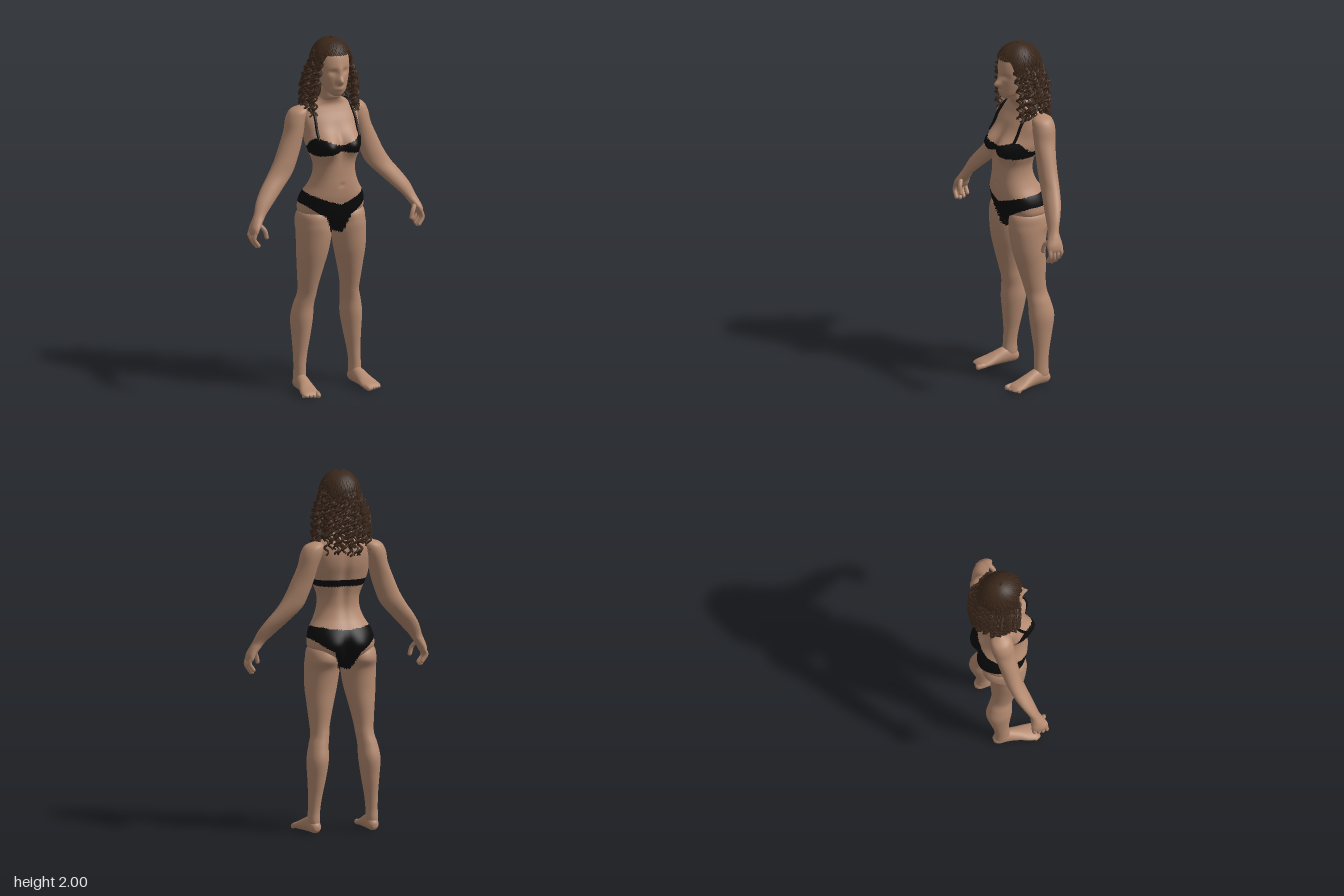
import * as THREE from 'three';
import { mergeGeometries } from 'three/addons/utils/BufferGeometryUtils.js';

const mat = (name, color, side = THREE.FrontSide) => {
  const m = new THREE.MeshStandardMaterial({ color, side });
  m.name = name;
  return m;
};

const { sin, cos, abs, sign, min, max, PI } = Math;
const smooth = (x, a, b) => THREE.MathUtils.smoothstep(x, a, b);
const bump = (x, y, cx, cy, sx, sy = sx) => Math.exp(-(((x - cx) / sx) ** 2) - ((y - cy) / sy) ** 2);

// Smoothly interpolated row of a section table, t in 0..1
function sample(table, t) {
  const f = t * (table.length - 1), i = min(Math.floor(f), table.length - 2), k = f - i;
  const at = (n) => table[max(0, min(table.length - 1, n))];
  return table[0].map((_, c) => {
    const [a, b, d, e] = [at(i - 1)[c], at(i)[c], at(i + 1)[c], at(i + 2)[c]];
    return b + 0.5 * k * (d - a + k * (2 * a - 5 * b + 4 * d - e + k * (3 * (b - d) + e - a)));
  });
}

// Closed rings through sections [position along axis, centre, centre, radius, radius].
// sculpt moves each point; isCloth picks the second material group.
function loft(table, { axis = 'y', rows = 60, cols = 32, power = 1, sculpt, isCloth } = {}) {
  const pos = [], groups = [[], []], v = new THREE.Vector3();
  const pw = (n) => sign(n) * abs(n) ** power;
  for (let r = 0; r <= rows; r++) {
    const [t, c1, c2, r1, r2] = sample(table, r / rows);
    for (let c = 0; c < cols; c++) {
      const u = (c / cols) * PI * 2, a = c1 + r1 * pw(cos(u)), b = c2 + r2 * pw(sin(u));
      if (axis === 'y') v.set(a, t, b); else v.set(a, max(0, b), t);
      if (sculpt) sculpt(v);
      pos.push(v.x, v.y, v.z);
    }
  }
  const tri = (...f) => {
    const mid = [0, 1, 2].map((k) => (pos[f[0] * 3 + k] + pos[f[1] * 3 + k] + pos[f[2] * 3 + k]) / 3);
    groups[isCloth && isCloth(...mid) ? 1 : 0].push(...f);
  };
  for (let r = 0; r < rows; r++) for (let c = 0; c < cols; c++) {
    const a = r * cols + c, b = r * cols + (c + 1) % cols;
    tri(a, a + cols, b);
    tri(b, a + cols, b + cols);
  }
  const g = new THREE.BufferGeometry();
  g.setAttribute('position', new THREE.Float32BufferAttribute(pos, 3));
  g.setIndex([...groups[0], ...groups[1]]);
  g.addGroup(0, groups[0].length, 0);
  g.addGroup(groups[0].length, groups[1].length, 1);
  g.computeVertexNormals();
  return g;
}

// Where the two-piece swimsuit covers the body
function swimsuit(x, y, z) {
  const a = abs(x);
  if (y > 1.25) {
    const front = smooth(z, -0.01, 0.08);
    const top = 1.4 + front * (0.015 + 0.38 * min(a, 0.12));
    const bottom = 1.36 + front * max(0, 0.025 - 0.2 * a);
    return y > bottom && y < top;
  }
  const top = z > 0 ? 1.075 + 0.38 * a : 1.125 + 0.1 * a;
  const bottom = 0.9 + 0.11 * smooth(a, 0.025, 0.085) + 0.65 * max(0, a - 0.085);
  return y > bottom && y < top;
}

// [height, half width, front z, back z]
const torsoRows = [
  [0.915, 0.01, 0.0, -0.04], [0.925, 0.06, 0.035, -0.08], [0.96, 0.13, 0.075, -0.125], [1.02, 0.183, 0.1, -0.145],
  [1.07, 0.186, 0.115, -0.148], [1.12, 0.173, 0.126, -0.135], [1.18, 0.138, 0.13, -0.1], [1.24, 0.118, 0.128, -0.08],
  [1.3, 0.117, 0.125, -0.08], [1.36, 0.138, 0.118, -0.092], [1.42, 0.157, 0.108, -0.108], [1.48, 0.16, 0.085, -0.125],
  [1.54, 0.165, 0.06, -0.13], [1.59, 0.155, 0.03, -0.125], [1.625, 0.115, 0.015, -0.11], [1.65, 0.072, 0.02, -0.08],
  [1.68, 0.055, 0.035, -0.065], [1.76, 0.05, 0.04, -0.06],
].map(([y, w, f, b]) => [y, 0, (f + b) / 2, w, (f - b) / 2]);

function sculptTorso(v) {
  const a = abs(v.x);
  if (v.z > 0) v.z += 0.058 * bump(a, v.y, 0.075, 1.415, 0.068) - 0.006 * bump(v.x, v.y, 0, 1.19, 0.012);
  else v.z += 0.022 * bump(v.x, v.y, 0, 0.99, 0.02, 0.07) - 0.025 * bump(a, v.y, 0.08, 1.03, 0.07)
    + 0.012 * bump(v.x, v.y, 0, 1.36, 0.025, 0.18);
}

const legRows = [
  [0.02, 0.168, -0.06, 0.026, 0.036], [0.06, 0.168, -0.06, 0.034, 0.044], [0.12, 0.167, -0.06, 0.033, 0.041],
  [0.2, 0.162, -0.065, 0.038, 0.045], [0.3, 0.155, -0.07, 0.05, 0.06], [0.4, 0.15, -0.072, 0.06, 0.073],
  [0.48, 0.142, -0.063, 0.055, 0.066], [0.54, 0.13, -0.05, 0.051, 0.063], [0.6, 0.127, -0.038, 0.056, 0.067],
  [0.7, 0.12, -0.025, 0.072, 0.082], [0.8, 0.112, -0.013, 0.089, 0.095], [0.9, 0.105, -0.012, 0.097, 0.108],
  [0.96, 0.105, -0.025, 0.094, 0.124], [1.02, 0.1, -0.02, 0.086, 0.105], [1.06, 0.1, -0.02, 0.03, 0.04],
];
const footRows = [
  [0.145, 0.186, 0.014, 0.036, 0.006], [0.125, 0.186, 0.018, 0.05, 0.017], [0.08, 0.182, 0.025, 0.05, 0.026],
  [0.03, 0.175, 0.036, 0.041, 0.037], [-0.03, 0.169, 0.046, 0.036, 0.047], [-0.085, 0.167, 0.036, 0.032, 0.036],
  [-0.108, 0.167, 0.03, 0.017, 0.02], [-0.112, 0.167, 0.03, 0.002, 0.002],
];
const armRows = [
  [0.945, 0.505, 0.05, 0.006, 0.03], [0.96, 0.503, 0.05, 0.018, 0.046], [0.99, 0.494, 0.05, 0.026, 0.046],
  [1.025, 0.474, 0.043, 0.032, 0.036], [1.06, 0.452, 0.034, 0.037, 0.029], [1.12, 0.41, 0.012, 0.055, 0.036],
  [1.18, 0.36, -0.012, 0.066, 0.043], [1.25, 0.3, -0.034, 0.072, 0.046], [1.32, 0.262, -0.043, 0.067, 0.05],
  [1.4, 0.23, -0.051, 0.063, 0.054], [1.48, 0.203, -0.06, 0.056, 0.061], [1.55, 0.182, -0.066, 0.062, 0.063],
  [1.595, 0.165, -0.066, 0.052, 0.052], [1.617, 0.15, -0.066, 0.012, 0.012],
];
const headRows = [
  [1.686, 0, 0.07, 0.008, 0.006], [1.692, 0, 0.066, 0.028, 0.024], [1.715, 0, 0.05, 0.053, 0.052],
  [1.75, 0, 0.03, 0.07, 0.076], [1.8, 0, 0.02, 0.083, 0.087], [1.86, 0, 0.01, 0.09, 0.096],
  [1.92, 0, 0, 0.084, 0.09], [1.96, 0, -0.01, 0.06, 0.065], [1.985, 0, -0.01, 0.01, 0.01],
];

// Nose, lips and eye hollows
function sculptHead(v) {
  if (v.z < 0.03) return;
  v.z += 0.032 * bump(v.x, v.y, 0, 1.78, 0.016, 0.02) + 0.012 * bump(v.x, v.y, 0, 1.82, 0.014, 0.04)
    + 0.007 * bump(v.x, v.y, 0, 1.735, 0.025, 0.012) - 0.012 * bump(abs(v.x), v.y, 0.036, 1.83, 0.022, 0.016);
}

const tube = (pts, r, segs = 16, sides = 8) => new THREE.TubeGeometry(
  new THREE.CatmullRomCurve3(pts.map((p) => new THREE.Vector3(...p))), segs, r, sides);

// Rounded finger or toe along a path
function digit(pts, r) {
  const tips = [pts[0], pts[pts.length - 1]].map((p) => new THREE.SphereGeometry(r, 8, 6).translate(...p));
  return mergeGeometries([tube(pts, r, 10), ...tips]);
}

// Scalp ellipsoid: polar angle th from the crown, phi around from the front
const scalp = (th, phi, k = 1) => [0.108 * k * sin(th) * sin(phi), 1.86 + 0.133 * k * cos(th), -0.012 + 0.128 * k * sin(th) * cos(phi)];

function hairCap(rows = 20, cols = 64) {
  const pos = [], idx = [];
  for (let r = 0; r <= rows; r++) for (let c = 0; c < cols; c++) {
    const phi = (c / cols) * PI * 2, away = abs(phi > PI ? phi - 2 * PI : phi);
    const edge = 1.08 + 1.0 * smooth(away, 0.65, 1.35);
    pos.push(...scalp((r / rows) * edge, phi, 1 + 0.012 * (c % 2)));
    if (r === rows) continue;
    const a = r * cols + c, b = r * cols + (c + 1) % cols;
    idx.push(a, a + cols, b, b, a + cols, b + cols);
  }
  const g = new THREE.BufferGeometry();
  g.setAttribute('position', new THREE.Float32BufferAttribute(pos, 3));
  g.setIndex(idx);
  g.computeVertexNormals();
  return g;
}

// One strand: over the scalp, then a hanging ringlet down to endY
function ringlet(phi, thEnd, endY, spread, phase, turns) {
  const pts = [], [x0, y0, z0] = scalp(thEnd, phi, 1.03);
  for (let i = 0; i < 12; i++) {
    const f = i / 12;
    pts.push(scalp(0.08 + (thEnd - 0.08) * f, phi + 0.07 * sin(i * 1.5 + phase) * f, 1.015 + 0.015 * f));
  }
  const n = endY < y0 ? turns * 6 : 0;
  for (let i = 0; i <= n && n; i++) {
    const f = i / n, e = smooth(f, 0, 0.6), w = phase + f * turns * PI * 2, r = 0.012 * min(1, f * 5);
    pts.push([x0 * (1 + spread * e) + r * cos(w), y0 + (endY - y0) * f,
      z0 * (1 + 0.12 * e) - 0.02 * e + r * sin(w)]);
  }
  return tube(pts, 0.0062, n ? 68 : 14, 4);
}

export function createModel() {
  const skin = mat('skin', 0xb48a70), cloth = mat('black cloth', 0x0b0b0c);
  const hair = mat('brown hair', 0x3c281b, THREE.DoubleSide);
  const model = new THREE.Group();
  model.name = 'woman';
  const add = (name, geometry, material) => {
    const m = new THREE.Mesh(geometry, material);
    m.name = name;
    model.add(m);
  };

  add('torso', loft(torsoRows, { rows: 150, cols: 96, power: 0.87, sculpt: sculptTorso, isCloth: swimsuit }), [skin, cloth]);
  add('head', loft(headRows, { rows: 64, cols: 56, sculpt: sculptHead }), skin);

  for (const [side, s] of [['left', 1], ['right', -1]]) {
    const flip = (rows) => rows.map(([t, x, ...rest]) => [t, x * s, ...rest]);
    add(side + 'Leg', loft(flip(legRows), { rows: 110, cols: 40, isCloth: swimsuit }), [skin, cloth]);
    add(side + 'Foot', loft(flip(footRows), { axis: 'z', rows: 32, cols: 24 }), skin);
    add(side + 'Arm', loft(flip(armRows), { rows: 70, cols: 28 }), skin);

    // Toes from the big one outward
    const toes = [0, 1, 2, 3, 4].map((i) => {
      const x = s * (0.15 + i * 0.0185), r = i ? 0.0105 : 0.015;
      return digit([[x, r + 0.003, 0.11], [x, r + 0.003, 0.13 - i * 0.005], [x + s * 0.004, r, 0.15 - i * 0.008]], r);
    });
    add(side + 'Toes', mergeGeometries(toes), skin);

    // Four curled fingers and a thumb
    const fingers = [0, 1, 2, 3].map((i) => {
      const z = 0.016 + i * 0.023, d = [0.018, 0.004, 0, 0.008][i];
      return digit([[s * 0.503, 0.97, z], [s * 0.512, 0.925 + d, z + 0.002], [s * 0.489, 0.888 + d, z + 0.004]], 0.0115);
    });
    fingers.push(digit([[s * 0.475, 1.01, 0.068], [s * 0.452, 0.98, 0.088], [s * 0.441, 0.94, 0.092]], 0.0125));
    add(side + 'Fingers', mergeGeometries(fingers), skin);

    add(side + 'Strap', tube([[0.122, 1.45, 0.095], [0.122, 1.5, 0.066], [0.12, 1.55, 0.044], [0.115, 1.6, 0.005],
      [0.108, 1.632, -0.045], [0.108, 1.61, -0.085]].map(([x, y, z]) => [x * s, y, z]), 0.008, 30), cloth);
  }

  // Hair: cap, short fringe and long ringlets
  let seed = 7;
  const rnd = () => (seed = (seed * 16807) % 2147483647) / 2147483647;
  add('hairCap', hairCap(), hair);
  const fringe = [], long = [];
  for (let i = 0; i < 21; i++) fringe.push(ringlet(-0.95 + i * 0.095, 1.05 + 0.16 * rnd(), 3, 0, rnd() * 6, 0));
  for (let i = 0; i < 84; i++) {
    const phi = 0.95 + (i / 83) * (2 * PI - 1.9), back = smooth(-cos(phi), 0, 0.9);
    long.push(ringlet(phi, 1.2 + 0.4 * rnd(), 1.57 - 0.03 * back + 0.14 * rnd() ** 1.5, 0.08 + 0.36 * rnd(), rnd() * 6, 6));
  }
  add('fringe', mergeGeometries(fringe), hair);
  add('ringlets', mergeGeometries(long), hair);
  return model;
}
